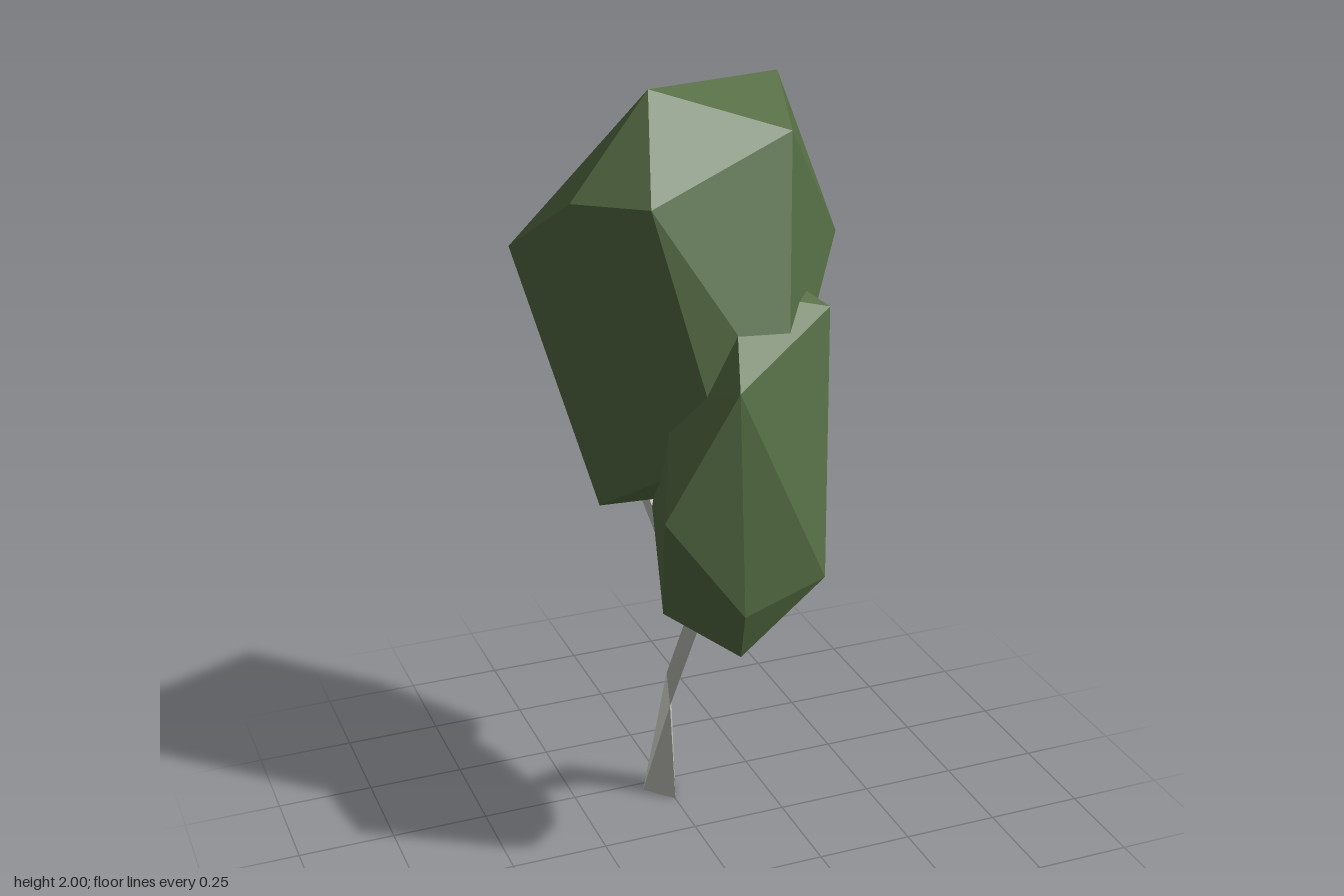
import * as THREE from 'three';
import { ConvexGeometry } from 'three/addons/geometries/ConvexGeometry.js';

// Faceted tube through triangular rings, each ordered left, front, right
function loft(rings) {
  const n = 3, index = [n - 1, 1, 0];
  for (let i = 0; i < rings.length - 1; i++) {
    for (let j = 0; j < n; j++) {
      const a = i * n + j, b = i * n + (j + 1) % n;
      index.push(a, b, b + n, a, b + n, a + n);
    }
  }
  const top = (rings.length - 1) * n;
  index.push(top, top + 1, top + 2);
  const g = new THREE.BufferGeometry();
  g.setAttribute('position', new THREE.Float32BufferAttribute(rings.flat(2), 3));
  g.setIndex(index);
  const flat = g.toNonIndexed();
  flat.computeVertexNormals();
  return flat;
}

// Small level triangle around a point
const tri = ([x, y, z], r) => [[x - r, y, z - r * 0.6], [x, y, z + r], [x + r, y, z - r * 0.6]];

export function createModel() {
  const bark = new THREE.MeshStandardMaterial({ color: 0xc4c5bd, flatShading: true });
  bark.name = 'pale bark';
  const leaf = new THREE.MeshStandardMaterial({ color: 0x556d44, flatShading: true });
  leaf.name = 'leaf green';

  const group = new THREE.Group();
  group.name = 'tree';
  const add = (name, geometry, material) => {
    const mesh = new THREE.Mesh(geometry, material);
    mesh.name = name;
    group.add(mesh);
  };
  const crown = (name, points) =>
    add(name, new ConvexGeometry(points.map((p) => new THREE.Vector3(...p))), leaf);

  // Trunk: upright foot, then a thin stem leaning forward
  add('trunk', loft([
    [[-0.065, 0, -0.22], [0, 0, -0.145], [0.025, 0, -0.235]],
    [[-0.04, 0.42, -0.1], [-0.02, 0.3, -0.13], [0, 0.38, -0.18]],
    [[-0.035, 0.67, 0.045], [-0.018, 0.64, 0.075], [0, 0.67, 0.04]],
  ]), bark);

  // Three branches fanning out from the fork
  const fork = [-0.017, 0.65, 0.053];
  const tips = {
    frontBranch: [-0.12, 0.9, 0.2],
    sideBranch: [0.11, 0.92, 0.07],
    backBranch: [-0.11, 0.98, -0.085],
  };
  for (const [name, tip] of Object.entries(tips)) {
    add(name, loft([tri(fork, 0.018), tri(tip, 0.014)]), bark);
  }

  // Tall main crown
  crown('upperCrown', [
    [-0.14, 2, 0.07], [0.25, 1.97, -0.11], [0.185, 1.89, 0.13],
    [-0.33, 1.76, 0.075], [-0.19, 1.77, 0.22], [-0.37, 1.56, -0.28],
    [0.04, 1.64, -0.385], [0.37, 1.59, -0.02], [0.04, 1.07, -0.4],
    [-0.18, 0.89, -0.19], [-0.265, 1, 0.05], [0.17, 0.94, -0.165],
    [0.1, 1.3, 0.33], [-0.05, 1.2, 0.31], [0.12, 1.03, 0.15],
  ]);

  // Smaller crown in front
  crown('lowerCrown', [
    [-0.05, 1.385, 0.4], [0.25, 1.49, 0.215], [0.28, 1.21, 0.085],
    [-0.21, 1.07, 0.345], [0.175, 0.885, 0.385], [-0.03, 0.82, 0.393],
    [-0.02, 0.69, 0.345], [-0.18, 0.79, 0.25], [0.15, 0.8, 0.21],
    [0.02, 1.55, 0.2], [0.18, 1.54, 0.13], [-0.12, 1.3, 0.15],
    [-0.15, 1, 0.1], [0.2, 1, 0.06], [0, 0.96, 0.03], [0.05, 1.3, 0.02],
  ]);

  return group;
}
